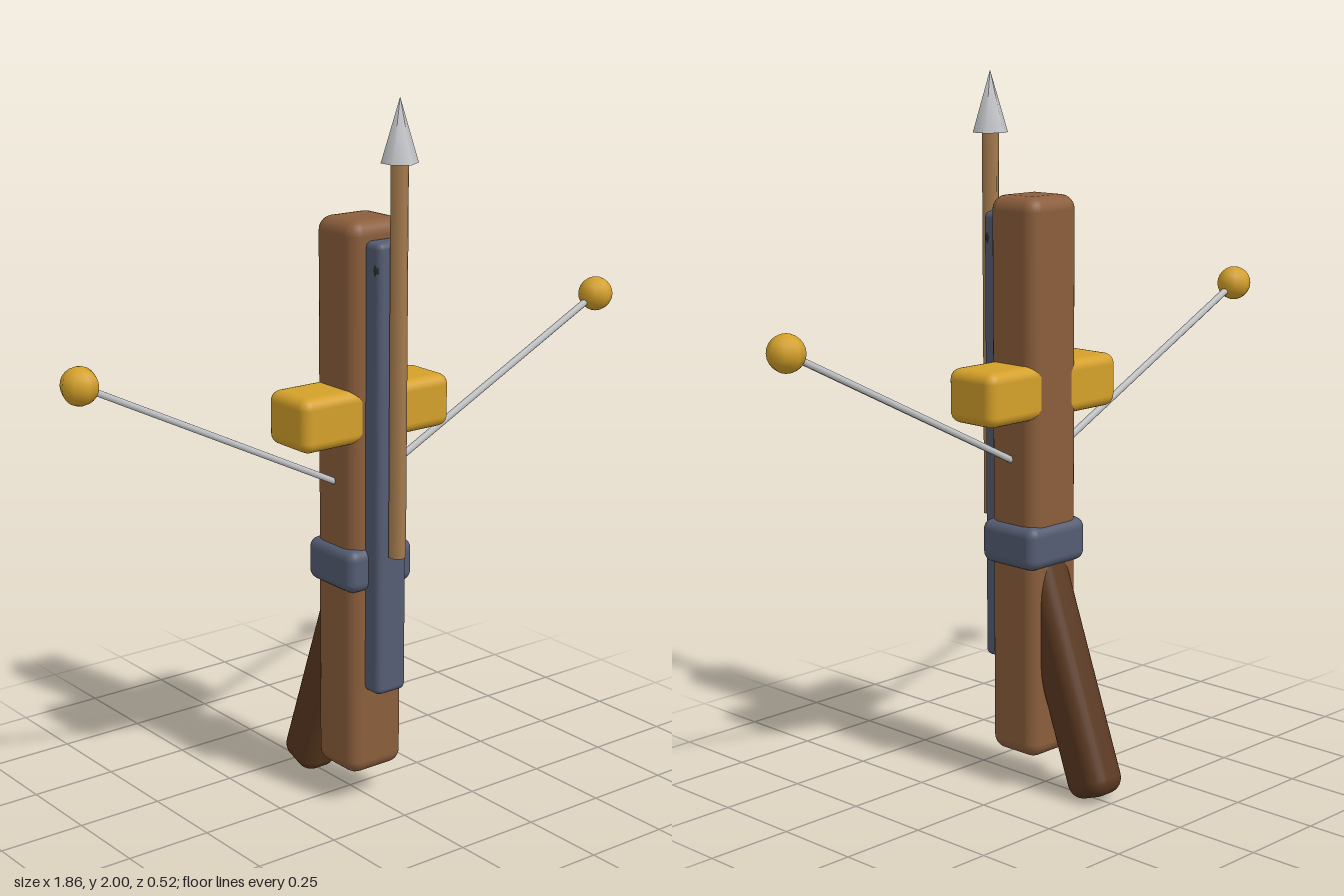
import * as THREE from 'three';
import { RoundedBoxGeometry } from 'three/addons/geometries/RoundedBoxGeometry.js';

const paint = (name, color) => {
  const m = new THREE.MeshStandardMaterial({ color });
  m.name = name;
  return m;
};

export function createModel() {
  const wood = paint('wood', 0x8b5e3c);
  const darkWood = paint('dark wood', 0x5a3820);
  const gold = paint('gold', 0xd4a02a);
  const slate = paint('slate', 0x555d73);
  const shaftWood = paint('shaft wood', 0xa67c4e);
  const steel = paint('steel', 0xc4c6c9);
  const iron = paint('dark iron', 0x2b2b31);

  const model = new THREE.Group();
  model.name = 'crossbow';
  const midZ = 0.045;

  const add = (name, geometry, material, x, y, z) => {
    const mesh = new THREE.Mesh(geometry, material);
    mesh.name = name;
    mesh.position.set(x, y, z);
    model.add(mesh);
    return mesh;
  };
  const block = (w, h, d, r) => new RoundedBoxGeometry(w, h, d, 3, r);

  // Main beam, cross block, band and bolt rail
  add('beam', block(0.187, 1.576, 0.175, 0.04), wood, 0, 0.883, midZ);
  add('crossBlock', block(0.504, 0.15, 0.173, 0.03), gold, 0, 1.14, midZ);
  add('band', block(0.224, 0.124, 0.204, 0.03), slate, 0, 0.707, midZ + 0.001);
  add('rail', block(0.102, 1.27, 0.07, 0.018), slate, 0, 0.985, 0.156);

  // Slanted shoulder stock, its lower end at the ground behind the beam
  const tilt = 0.349, length = 0.72;
  const stock = add('stock', block(0.125, length, 0.14, 0.045), darkWood,
    0, 0.011 + Math.cos(tilt) * length / 2, -0.203 + Math.sin(tilt) * length / 2);
  stock.rotation.x = tilt;

  // Ring sunk into the upper end of the rail
  add('railRing', new THREE.TorusGeometry(0.038, 0.016, 8, 20), iron, 0, 1.547, 0.172);

  // Hexagonal bolt
  add('boltShaft', new THREE.CylinderGeometry(0.024, 0.024, 1.08, 6), shaftWood, 0, 1.295, 0.209);
  add('boltTip', new THREE.ConeGeometry(0.05, 0.17, 6), steel, 0, 1.915, 0.209);

  // Bow arms with ball ends, mirrored
  for (const side of [1, -1]) {
    const start = new THREE.Vector3(side * 0.07, 0.938, midZ);
    const end = new THREE.Vector3(side * 0.878, 1.342, midZ);
    const dir = end.clone().sub(start);
    const prefix = side > 0 ? 'left' : 'right';
    const mid = start.clone().add(end).multiplyScalar(0.5);
    const arm = add(prefix + 'Arm', new THREE.CylinderGeometry(0.01, 0.01, dir.length(), 6),
      steel, mid.x, mid.y, mid.z);
    arm.quaternion.setFromUnitVectors(new THREE.Vector3(0, 1, 0), dir.normalize());
    add(prefix + 'Ball', new THREE.SphereGeometry(0.05, 8, 12), gold, end.x, end.y, end.z);
  }
  return model;
}
